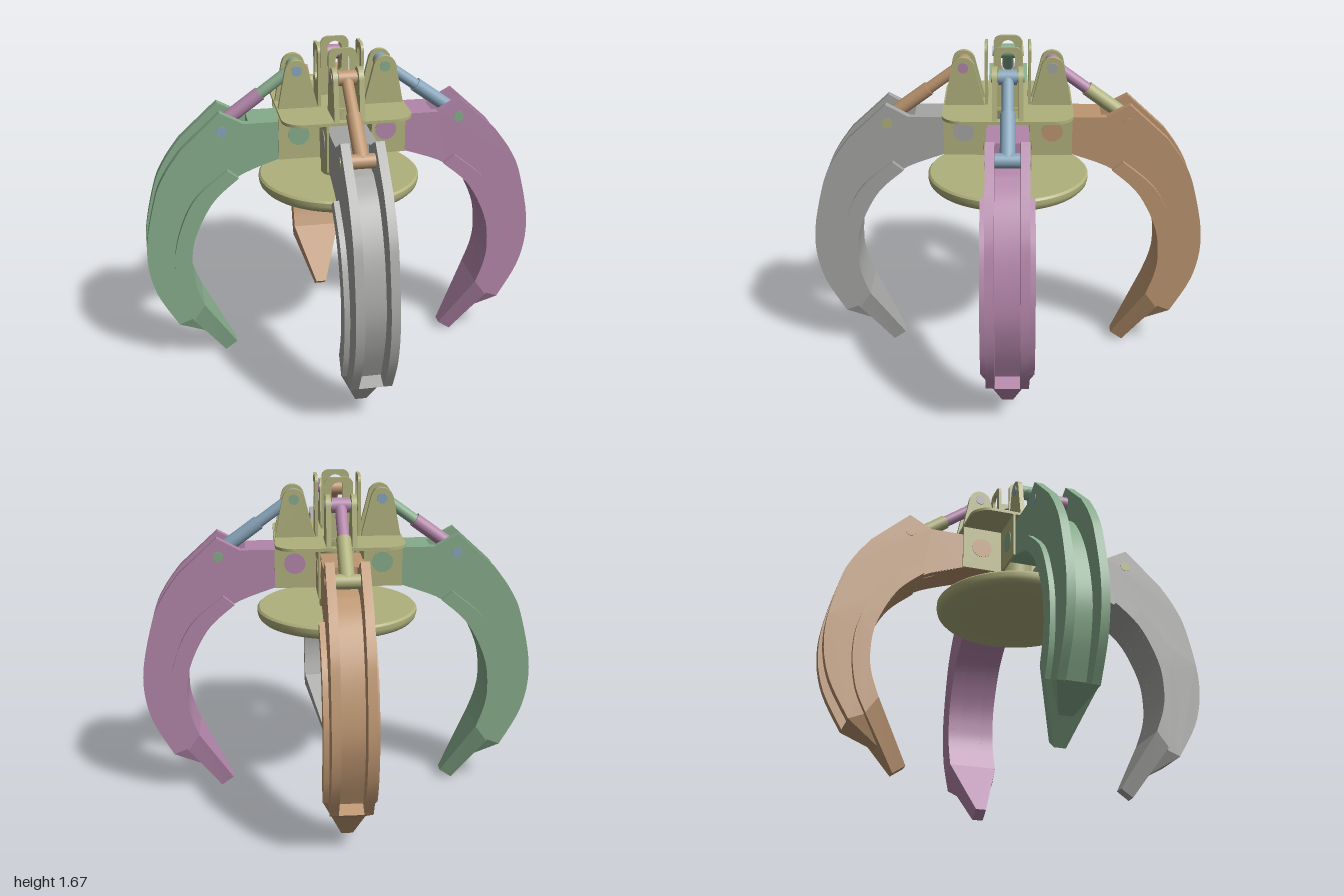
import * as THREE from 'three';
import { toCreasedNormals } from 'three/addons/utils/BufferGeometryUtils.js';

const paint = (name, color) => {
  const m = new THREE.MeshStandardMaterial({ color });
  m.name = name;
  return m;
};

export function createModel() {
  const khaki = paint('khaki', 0xb0b17d), green = paint('green', 0x86ab8b);
  const purple = paint('purple', 0xb285a9), grey = paint('grey', 0xa5a5a3);
  const orange = paint('orange', 0xbd9671), blue = paint('blue', 0x88a5bb);

  const add = (parent, name, geo, mat) => {
    const m = new THREE.Mesh(geo, mat);
    m.name = name;
    parent.add(m);
    return m;
  };
  const pts = (list) => list.map(([x, y]) => new THREE.Vector2(x, y));
  // Extrude a side profile between two depths
  const slab = (shape, z0, z1) => {
    const g = new THREE.ExtrudeGeometry(shape, { depth: z1 - z0, bevelEnabled: false, curveSegments: 32 });
    g.translate(0, 0, z0);
    return toCreasedNormals(g, 0.45);
  };
  const poly = (list) => new THREE.Shape(pts(list));
  // Short cylinder lying across an arm
  const pin = (r, y, radius, half) =>
    new THREE.CylinderGeometry(radius, radius, half * 2, 24).rotateX(Math.PI / 2).translate(r, y, 0);

  // Curves of the claw in its side plane
  const smooth = (list, n = 28) => new THREE.SplineCurve(pts(list)).getPoints(n).map((p) => [p.x, p.y]);
  const inner = smooth([[0.725, 0.335], [0.765, 0.45], [0.778, 0.56], [0.756, 0.72], [0.66, 0.91], [0.525, 1.035], [0.32, 1.115]]);
  const innerShort = smooth([[0.725, 0.335], [0.765, 0.45], [0.778, 0.56], [0.756, 0.72], [0.66, 0.91], [0.525, 1.035]]);
  const outer = smooth([[0.8, 1.195], [0.885, 1.075], [0.944, 0.94], [1, 0.66], [0.97, 0.43], [0.86, 0.22]]);
  const flangeOuter = smooth([[0.58, 1.08], [0.75, 0.93], [0.84, 0.73], [0.863, 0.56], [0.84, 0.38], [0.785, 0.25]]);
  const webOuter = smooth([[0.58, 1.2], [0.72, 1.1], [0.84, 0.9], [0.9, 0.65], [0.875, 0.45], [0.8, 0.25]]);

  const railShape = poly([[0.606, 1.373], ...outer, [0.785, 0.25], ...inner, [0.32, 1.31], [0.49, 1.31]]);
  const webShape = poly([[0.4, 1.22], ...webOuter, [0.785, 0.25], ...innerShort, [0.4, 1.09]]);
  const flangeShape = poly([...flangeOuter, ...innerShort]);
  const rootShape = poly([[0.14, 1.17], [0.32, 1.115], [0.465, 1.063], [0.465, 1.31], [0.2, 1.31], [0.14, 1.28]]);

  // Solid whose width narrows towards the claw point
  const taper = (shape, w0, w1, span) => {
    const g = new THREE.ExtrudeGeometry(shape, { depth: 2, bevelEnabled: false });
    g.translate(0, 0, -1);
    const p = g.attributes.position;
    for (let i = 0; i < p.count; i++) {
      const t = ((0.77 - p.getX(i)) * 0.584 + (0.27 - p.getY(i)) * 0.811) / 0.308 / span;
      const k = Math.min(1, Math.max(0, t));
      p.setZ(i, p.getZ(i) * (w0 + (w1 - w0) * k));
    }
    return toCreasedNormals(g, 0.3);
  };

  function claw(mat) {
    const g = new THREE.Group();
    g.name = 'claw';
    for (const [a, b] of [[0.06, 0.103], [-0.103, -0.06]]) add(g, 'clawRail', slab(railShape, a, b), mat);
    add(g, 'clawWeb', slab(webShape, -0.06, 0.06), mat);
    add(g, 'clawFlange', slab(flangeShape, -0.13, 0.13), mat);
    add(g, 'clawRoot', slab(rootShape, -0.099, 0.099), mat);
    add(g, 'clawPoint', taper(poly([[0.725, 0.335], [0.558, 0.043], [0.62, 0], [0.7, 0.123], [0.785, 0.25]]), 0.13, 0.028, 1), mat);
    add(g, 'clawHeel', taper(poly([[0.785, 0.25], [0.7, 0.123], [0.86, 0.22]]), 0.103, 0.035, 0.52), mat);
    add(g, 'hingePin', pin(0.22, 1.24, 0.053, 0.118), mat);
    return g;
  }

  // Hydraulic ram from the upper lug to the claw
  function ram(lower, upper, lowPin, topPin) {
    const g = new THREE.Group();
    g.name = 'ram';
    const top = new THREE.Vector3(0.22, 1.555, 0), low = new THREE.Vector3(0.6, 1.278, 0);
    const bar = (name, a, b, radius, mat) => {
      const p = low.clone().lerp(top, a), q = low.clone().lerp(top, b);
      const m = add(g, name, new THREE.CylinderGeometry(radius, radius, p.distanceTo(q), 24), mat);
      m.position.copy(p).add(q).multiplyScalar(0.5);
      m.quaternion.setFromUnitVectors(new THREE.Vector3(0, 1, 0), q.sub(p).normalize());
    };
    bar('ramBarrel', 0, 0.54, 0.036, lower);
    bar('ramRod', 0.54, 1, 0.029, upper);
    add(g, 'ramFoot', pin(low.x, low.y, 0.035, 0.06), lower);
    add(g, 'ramHead', pin(top.x, top.y, 0.037, 0.044), upper);
    add(g, 'ramFootPin', pin(low.x, low.y, 0.026, 0.106), lowPin);
    add(g, 'ramHeadPin', pin(top.x, top.y, 0.026, 0.079), topPin);
    return g;
  }

  // Lug with a rounded top
  const lugShape = new THREE.Shape();
  lugShape.moveTo(0.115, 1.36);
  lugShape.lineTo(0.315, 1.36);
  lugShape.lineTo(0.277, 1.56);
  lugShape.absarc(0.22, 1.55, 0.057, 0.15, Math.PI - 0.15, false);

  // Upright eye plate with a slot
  const eyeShape = new THREE.Shape();
  eyeShape.moveTo(-0.07, 1.36);
  eyeShape.lineTo(0.07, 1.36);
  eyeShape.absarc(0.035, 1.635, 0.035, 0, Math.PI / 2, false);
  eyeShape.absarc(-0.035, 1.635, 0.035, Math.PI / 2, Math.PI, false);
  const slot = new THREE.Path();
  slot.absarc(0, 1.61, 0.036, 0, Math.PI, false);
  slot.absarc(0, 1.52, 0.036, Math.PI, Math.PI * 2, false);
  eyeShape.holes.push(slot);

  function bracket() {
    const g = new THREE.Group();
    g.name = 'bracket';
    for (const s of [-1, 1]) {
      add(g, 'hingePlate', new THREE.BoxGeometry(0.215, 0.24, 0.011).translate(0.2125, 1.235, s * 0.1095), khaki);
      add(g, 'lug', slab(lugShape, s * 0.0625 - 0.0125, s * 0.0625 + 0.0125), khaki);
    }
    add(g, 'eyePlate', slab(eyeShape, -0.007, 0.007).rotateY(Math.PI / 2).translate(0.107, 0, 0), khaki);
    return g;
  }

  const model = new THREE.Group();
  model.name = 'grapple';

  // Four arms: +x, +z, -x, -z
  const arms = [
    ['leftArm', purple, blue, blue, green, green],
    ['frontArm', grey, orange, orange, khaki, purple],
    ['rightArm', green, purple, green, blue, blue],
    ['backArm', orange, khaki, purple, orange, grey],
  ];
  arms.forEach(([name, body, lower, upper, lowPin, topPin], i) => {
    const arm = new THREE.Group();
    arm.name = name;
    arm.add(claw(body), ram(lower, upper, lowPin, topPin), bracket());
    arm.rotation.y = -i * Math.PI / 2;
    model.add(arm);
  });

  // Top plate: rounded square with a slot for each arm
  const plate = new THREE.Shape();
  const c = 0.22, r = 0.1;
  [[c, c], [-c, c], [-c, -c], [c, -c]].forEach(([x, y], i) =>
    plate.absarc(x, y, r, i * Math.PI / 2, (i + 1) * Math.PI / 2, false));
  for (let i = 0; i < 4; i++) {
    const corners = pts([[0.125, -0.05], [0.125, 0.05], [0.28, 0.05], [0.28, -0.05]]);
    const o = new THREE.Vector2();
    plate.holes.push(new THREE.Path(corners.map((p) => p.rotateAround(o, i * Math.PI / 2))));
  }
  add(model, 'topPlate', slab(plate, 0, 0.015).rotateX(-Math.PI / 2).translate(0, 1.35, 0), khaki);

  // Central post and pressure disc
  add(model, 'post', new THREE.CylinderGeometry(0.09, 0.09, 0.37, 32).translate(0, 1.17, 0), khaki);
  const disc = new THREE.LatheGeometry(pts([[0, 0.922], [0.37, 0.922], [0.392, 0.928], [0.405, 0.942],
    [0.41, 0.96], [0.41, 0.98], [0.4, 0.99], [0, 0.99]]), 64);
  add(model, 'pressureDisc', toCreasedNormals(disc, 0.6), khaki);

  return model;
}
